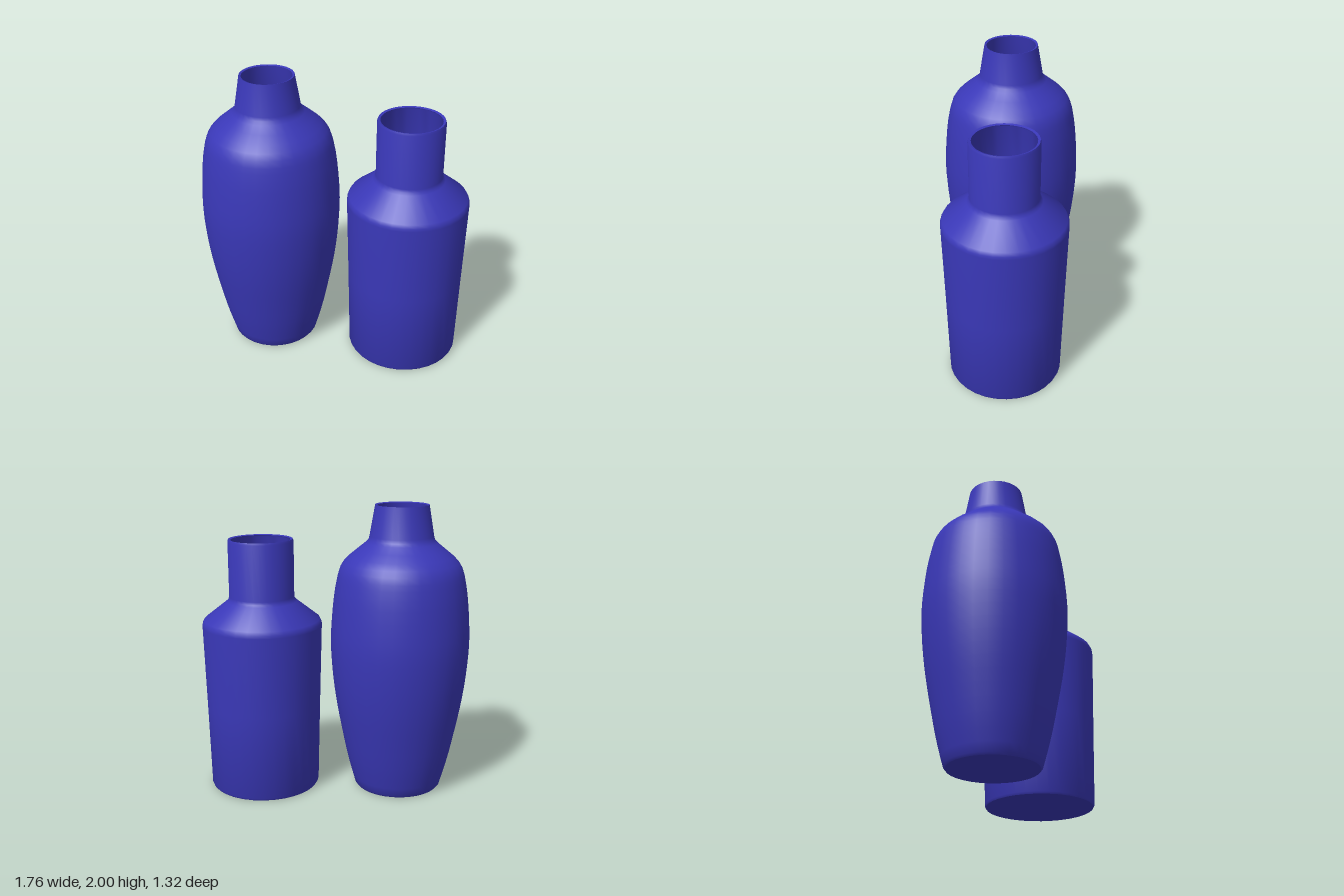
import * as THREE from 'three';
import { toCreasedNormals } from 'three/addons/utils/BufferGeometryUtils.js';

const glaze = new THREE.MeshStandardMaterial({ color: 0x3a38b8 });
const SEGMENTS = 32;

// Revolves an outer profile [radius, height], then returns down the inside by the wall thickness.
function makeVase(name, outer, wall, x, z) {
  const inner = outer
    .filter(([, y]) => y > 0.02)
    .reverse()
    .map(([r, y], i) => [r - wall, i === 0 ? y - 0.005 : y]);
  const floorY = 0.03;
  const profile = [
    [0, 0], ...outer, ...inner,
    [outer[1][0] - wall, floorY], [0, floorY],
  ].map(([r, y]) => new THREE.Vector2(r, y));
  const geometry = toCreasedNormals(new THREE.LatheGeometry(profile, SEGMENTS), 0.7);
  const mesh = new THREE.Mesh(geometry, glaze);
  mesh.name = name;
  mesh.position.set(x, 0, z);
  return mesh;
}

export function createModel() {
  const group = new THREE.Group();
  group.name = 'vasePair';

  // Tall vase: bulging belly, rounded shoulder, tapered neck
  const belly = new THREE.SplineCurve([
    [0.307, 0.015], [0.357, 0.2], [0.403, 0.42], [0.44, 0.62], [0.466, 0.82], [0.48, 1.03],
    [0.475, 1.2], [0.456, 1.4], [0.432, 1.53],
  ].map(([r, y]) => new THREE.Vector2(r, y))).getPoints(20).map((p) => [p.x, p.y]);
  group.add(makeVase('tallVase', [
    [0.295, 0], ...belly,
    [0.418, 1.575], [0.394, 1.615], [0.355, 1.655], [0.3, 1.7], [0.245, 1.745],
    [0.226, 1.765], [0.219, 1.79], [0.183, 2],
  ], 0.014, -0.4, -0.185));

  // Short vase: nearly straight body, sloped shoulder, cylindrical neck
  group.add(makeVase('shortVase', [
    [0.378, 0], [0.386, 0.015], [0.4, 0.6], [0.415, 1.165], [0.414, 1.185], [0.402, 1.21],
    [0.243, 1.335], [0.23, 1.35], [0.225, 1.37], [0.225, 1.75], [0.22, 1.765],
  ], 0.016, 0.46, 0.24));

  return group;
}
